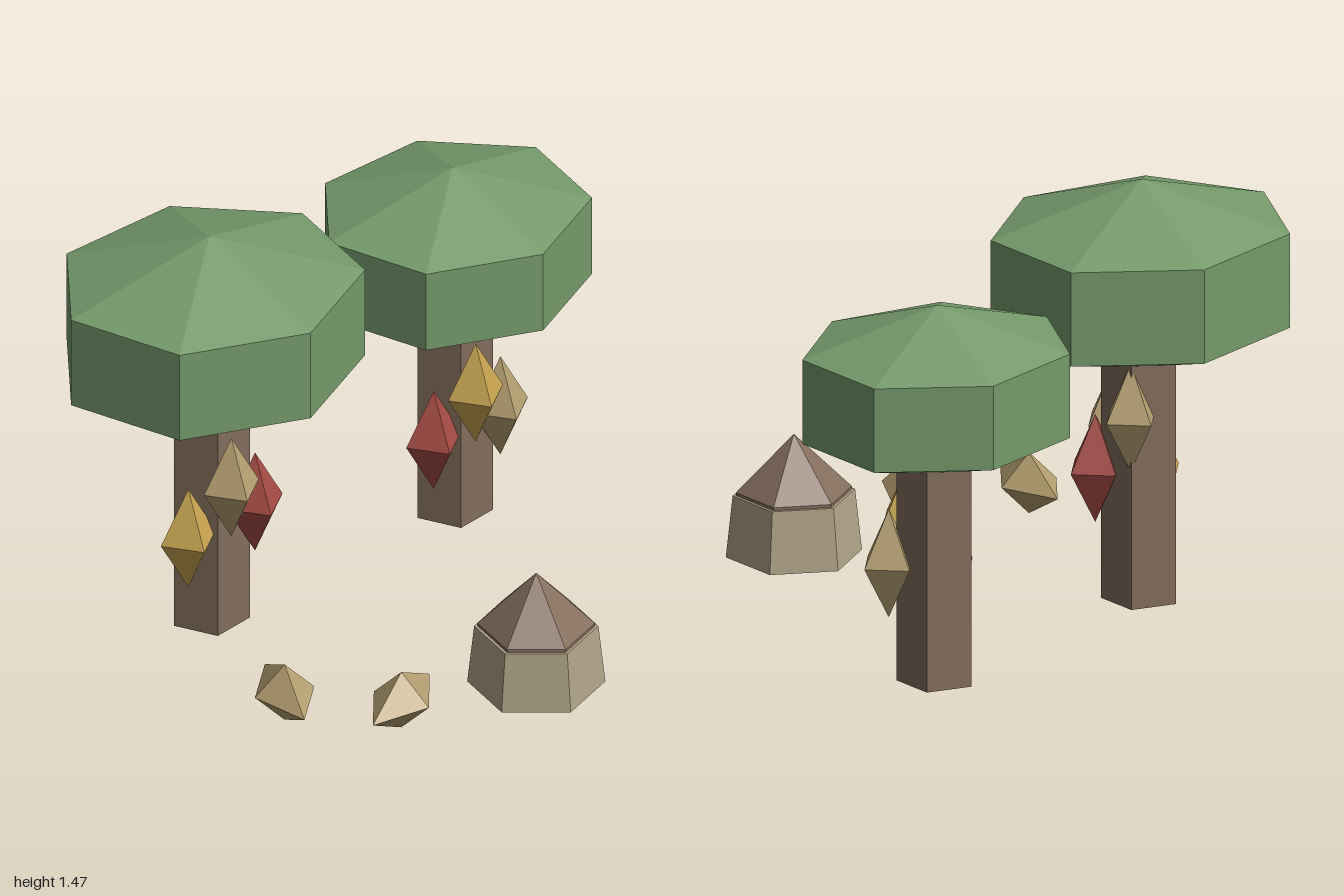
import * as THREE from 'three';

const mat = (name, color) => {
  const m = new THREE.MeshStandardMaterial({ color, flatShading: true });
  m.name = name;
  return m;
};

export function createModel() {
  const model = new THREE.Group();
  const leaf = mat('leafGreen', 0x759a6b);
  const bark = mat('barkBrown', 0x836d5c);
  const tan = mat('podTan', 0xb49f70);
  const gold = mat('podGold', 0xc6a350);
  const red = mat('podRed', 0xa54b45);
  const wall = mat('wallBeige', 0xb0a488);

  const add = (parent, name, geo, material, x, y, z) => {
    const mesh = new THREE.Mesh(geo, material);
    mesh.name = name;
    mesh.position.set(x, y, z);
    parent.add(mesh);
    return mesh;
  };

  // Eight-sided pod, taller than wide
  const podGeo = new THREE.OctahedronGeometry(1).scale(0.105, 0.19, 0.107);

  // Tree: five-sided trunk, seven-sided canopy, hanging pods
  const tree = (name, x, z, canopyY, size, pods) => {
    const group = new THREE.Group();
    group.name = name;
    group.position.set(x, 0, z);
    model.add(group);
    const h = canopyY - size * 0.7;
    add(group, 'trunk', new THREE.CylinderGeometry(0.135, 0.135, h, 5, 1, false, -Math.PI / 2), bark, 0, h / 2, 0);
    const canopy = new THREE.SphereGeometry(1, 7, 3).scale(size * 1.85, size, size * 1.68);
    add(group, 'canopy', canopy, leaf, 0, canopyY, 0);
    for (const [m, px, py, pz] of pods) add(group, 'pod', podGeo, m, px, py, pz);
  };
  tree('tallTree', -0.47, -0.295, 1.14, 0.33, [
    [tan, -0.005, 0.58, 0.155],
    [gold, -0.135, 0.39, 0.095],
    [red, 0.12, 0.455, 0.095],
    [tan, 0.1, 0.67, -0.065],
  ]);
  tree('shortTree', 0.573, -0.49, 1.022, 0.295, [
    [gold, 0, 0.525, 0.153],
    [red, -0.127, 0.35, 0.095],
    [tan, 0.125, 0.41, 0.1],
  ]);

  // Pods lying on the ground: [x, z, heading]
  for (const [x, z, heading] of [[-0.626, 0.476, -0.17], [-0.315, 0.711, 2.1]]) {
    const pod = add(model, 'fallenPod', podGeo, tan, x, 0.155, z);
    pod.rotation.set(Math.PI / 2, heading, 0, 'YXZ');
  }

  // Small six-sided hut
  const hut = new THREE.Group();
  hut.name = 'hut';
  hut.position.set(0.222, 0, 0.675);
  model.add(hut);
  add(hut, 'hutWalls', new THREE.CylinderGeometry(0.206, 0.229, 0.215, 6), wall, 0, 0.152, 0);
  const roof = [[0.195, 0.255], [0.195, 0.27], [0, 0.465]].map(p => new THREE.Vector2(...p));
  add(hut, 'hutRoof', new THREE.LatheGeometry(roof, 6), bark, 0, 0, 0);

  return model;
}
